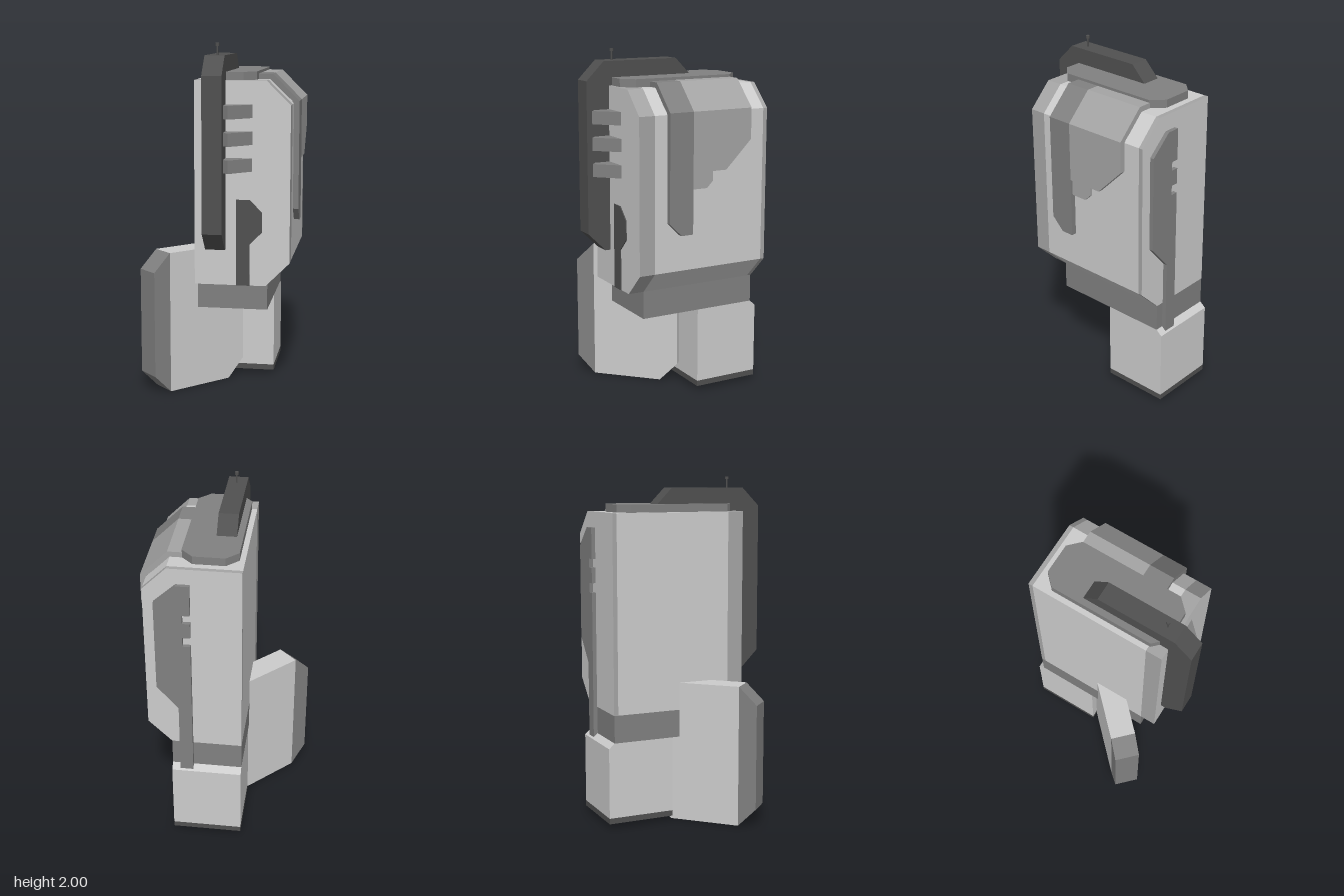
import * as THREE from 'three';

const mat = (name, color, side = THREE.FrontSide) => {
  const m = new THREE.MeshStandardMaterial({ color, side });
  m.name = name;
  return m;
};

export function createModel() {
  const light = mat('light grey', 0xcccccc);
  const medium = mat('medium grey', 0xa4a4a4);
  const mid = mat('mid grey', 0x808080);
  const dark = mat('dark grey', 0x505050);
  const model = new THREE.Group();

  const add = (name, geometry, material, parent = model) => {
    const mesh = new THREE.Mesh(geometry, material);
    mesh.name = name;
    parent.add(mesh);
    return mesh;
  };
  const extrude = (points, depth, hole) => {
    const shape = new THREE.Shape(points.map(p => new THREE.Vector2(...p)));
    if (hole) shape.holes.push(new THREE.Path(hole.map(p => new THREE.Vector2(...p))));
    return new THREE.ExtrudeGeometry(shape, { depth, bevelEnabled: false });
  };
  // Outline in (x, y) between two z values
  const alongZ = (pts, z0, z1) => extrude(pts, z1 - z0).translate(0, 0, z0);
  // Outline in (z, y) between two x values
  const alongX = (pts, x0, x1) => extrude(pts, x1 - x0).rotateY(-Math.PI / 2).translate(x1, 0, 0);
  // Outline in (x, z) between two y values
  const alongY = (pts, y0, y1, hole) => extrude(pts, y1 - y0, hole).rotateX(Math.PI / 2).translate(0, y1, 0);
  const rect = (a0, a1, b0, b1) => [[a0, b0], [a1, b0], [a1, b1], [a0, b1]];

  // Main body: light core with medium rims at front and back
  const bodyOutline = [[-0.12, 0.66], [0.28, 0.66], [0.413, 0.793], [0.413, 1.668], [0.28, 1.8], [-0.12, 1.8]];
  add('bodyCore', alongZ(bodyOutline, -0.432, 0.26), light);
  add('bodyFrontRim', alongZ(bodyOutline, 0.26, 0.354), [light, medium]);
  add('bodyBackRim', alongZ(bodyOutline, -0.457, -0.432), [light, medium]);

  // Neck block under the body
  add('neck', alongX(rect(-0.455, 0.262, 0.5, 0.66), -0.12, 0.28), mid);

  // Hollow square foot, open below
  const outer = rect(-0.12, 0.28, -0.49, -0.095);
  const inner = rect(-0.085, 0.245, -0.455, -0.13);
  add('footWalls', alongY(outer, 0.06, 0.47, inner), light);
  add('footRim', alongY(outer, 0.027, 0.06, inner), dark);
  add('footTop', alongX([[-0.49, 0.47], [-0.095, 0.47], [-0.095, 0.5], [-0.455, 0.5]], -0.12, 0.28), light);

  // Diagonal slab reaching forward and outward
  const slab = new THREE.Group();
  slab.name = 'diagonalSlab';
  slab.rotation.y = -3 * Math.PI / 4;
  slab.position.set(-0.0335, 0, -0.0335);
  model.add(slab);
  add('slabMain', alongZ([[-0.112, 0.11], [-0.005, 0], [0.41, 0], [0.41, 0.82], [-0.112, 0.82]],
    -0.0725, 0.0725), light, slab);
  add('slabEnd', alongZ([[0.41, 0], [0.516, 0.107], [0.516, 0.717], [0.41, 0.82]],
    -0.0725, 0.0725), mid, slab);

  // Octagonal plate on top
  add('topPlate', alongY([[-0.09, -0.33], [-0.025, -0.395], [0.15, -0.395], [0.216, -0.33],
    [0.216, 0.268], [0.15, 0.334], [-0.025, 0.334], [-0.09, 0.268]], 1.8, 1.845), mid);

  // Dark rail wrapping over the top and down the front
  add('frontRail', alongX([[0.354, 0.865], [0.385, 0.865], [0.49, 0.97], [0.49, 1.83], [0.385, 1.935],
    [-0.07, 1.935], [-0.158, 1.845], [0.354, 1.8]], -0.055, 0.055), dark);
  add('antenna', new THREE.CylinderGeometry(0.005, 0.005, 0.06, 10).translate(0.003, 1.96, 0.31), dark);
  add('antennaTip', new THREE.CylinderGeometry(0.011, 0.011, 0.016, 10).translate(0.003, 1.992, 0.31), dark);

  // Three wedge fins beside the rail
  for (const y of [1.303, 1.45, 1.597]) {
    add('fin', alongY([[0.03, 0.354], [0.03, 0.42], [0.085, 0.472], [0.203, 0.354]], y, y + 0.073), mid);
  }

  // Flat lever on the front face
  add('frontLever', alongZ([[0.115, 0.66], [0.19, 0.66], [0.19, 0.895], [0.26, 0.965], [0.26, 1.075],
    [0.19, 1.145], [0.115, 1.145]], 0.35, 0.36), dark);

  // Side panel: flat faces plus a strip folded over the body's top edge
  const fold = [[0.405, 1.68], [0.444, 1.68], [0.293, 1.83], [0.2, 1.83], [0.2, 1.79], [0.28, 1.79]];
  add('sidePanelFold', alongZ(fold, -0.333, 0.037), medium);
  add('sideStripFold', alongZ(fold, 0.037, 0.183), mid);
  add('sidePanel', alongX([[0.037, 1.345], [0.037, 1.68], [-0.333, 1.68], [-0.333, 1.505], [-0.173, 1.345]],
    0.405, 0.444), medium);
  add('sideStrip', alongX([[0.037, 1], [0.11, 1], [0.183, 1.073], [0.183, 1.68], [0.037, 1.68]],
    0.405, 0.444), mid);
  add('sideTab', alongX([[0.037, 1.25], [0.037, 1.345], [-0.095, 1.345], [-0.095, 1.287], [-0.058, 1.25]],
    0.405, 0.43), medium);

  // Notched plate on the back
  add('backPlate', alongZ([[0.157, 0.47], [0.232, 0.47], [0.232, 0.915], [0.352, 1.055], [0.352, 1.6],
    [0.232, 1.71], [0.157, 1.71], [0.157, 1.53], [0.2, 1.53], [0.2, 1.48], [0.157, 1.48],
    [0.157, 1.39], [0.2, 1.39], [0.2, 1.335], [0.157, 1.335]], -0.48, -0.455), mid);

  return model;
}
